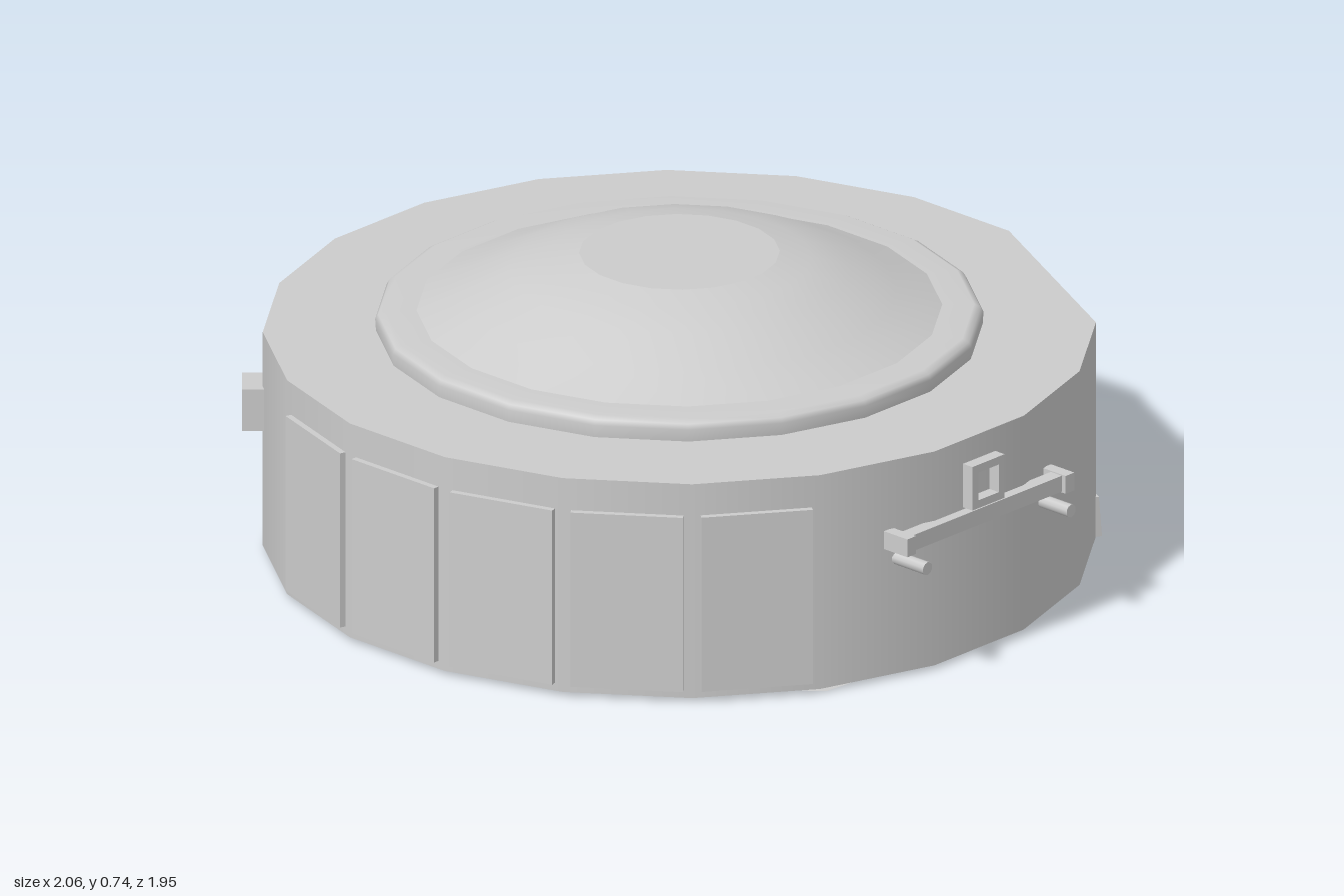
import * as THREE from 'three';

const RAD = Math.PI / 180, SIDES = 20, R = 0.975, CX = -0.016, CZ = -0.01;
const APOTHEM = R * Math.cos(9 * RAD);

export function createModel() {
  const model = new THREE.Group();
  const grey = new THREE.MeshStandardMaterial({ color: 0xcccccc });
  grey.name = 'plain grey';
  grey.side = THREE.DoubleSide;

  const add = (name, geometry, parent = model) => {
    const mesh = new THREE.Mesh(geometry, grey);
    mesh.name = name;
    parent.add(mesh);
    return mesh;
  };
  const box = (w, h, d) => new THREE.BoxGeometry(w, h, d);

  // Group on the wall: local +z points outward; degrees run from front toward +x
  const onWall = (name, deg, r, y) => {
    const g = new THREE.Group();
    g.name = name;
    g.rotation.y = deg * RAD;
    g.position.set(CX + r * Math.sin(deg * RAD), y, CZ + r * Math.cos(deg * RAD));
    model.add(g);
    return g;
  };
  const extrude = (shape, depth) =>
    new THREE.ExtrudeGeometry(shape, { depth, bevelEnabled: false, curveSegments: 6 });

  // Twenty-sided drum with one corner cut flat
  const drum = new THREE.CylinderGeometry(R, R, 0.54, SIDES, 1, false, 9 * RAD);
  const p = drum.attributes.position;
  for (let i = 0; i < p.count; i++) {
    const a = Math.atan2(p.getX(i), p.getZ(i)) / RAD;
    if (Math.hypot(p.getX(i), p.getZ(i)) > 0.5 && Math.abs(a - 135) < 1) {
      p.setX(i, p.getX(i) * Math.cos(18 * RAD));
      p.setZ(i, p.getZ(i) * Math.cos(18 * RAD));
    }
  }
  add('wall', drum).position.set(CX, 0.28, CZ);

  // Stepped roof: rim, dome and skylight
  const lathe = (name, pts) => {
    const g = new THREE.LatheGeometry(pts.map(q => new THREE.Vector2(...q)), SIDES, 9 * RAD);
    add(name, g).position.set(CX, 0, CZ);
  };
  lathe('roofRim', [[0.71, 0.55], [0.712, 0.58], [0.705, 0.592], [0.69, 0.6], [0.6, 0.6]]);
  lathe('dome', [[0.62, 0.598], [0.51, 0.645], [0.4, 0.698], [0.31, 0.724], [0.235, 0.74]]);
  lathe('skylightRim', [[0.235, 0.74], [0.215, 0.74]]);
  lathe('skylight', [[0.215, 0.737], [0.001, 0.737]]);

  // Five front panels
  for (let i = -2; i <= 2; i++) {
    add('frontPanel', box(0.265, 0.44, 0.03), onWall('frontPanelMount', i * 18, APOTHEM, 0.25));
  }

  // Boxes on the right side and back: angle, height, depth
  for (const [deg, y, d] of [[-65, 0.36, 0.12], [-95, 0.16, 0.07], [-110, 0.34, 0.11], [-159, 0.33, 0.03]]) {
    add('wallBox', box(0.105, 0.105, d), onWall('wallBoxMount', deg, APOTHEM, y));
  }

  // Arched back door
  const door = new THREE.Shape();
  door.moveTo(-0.105, 0);
  door.lineTo(0.105, 0);
  door.lineTo(0.105, 0.28);
  door.quadraticCurveTo(0.105, 0.36, 0.03, 0.36);
  door.lineTo(-0.03, 0.36);
  door.quadraticCurveTo(-0.105, 0.36, -0.105, 0.28);
  add('backDoor', extrude(door, 0.008), onWall('backDoorMount', 180, APOTHEM, 0.012));

  // Rounded window with two peaks on the cut corner
  const win = new THREE.Shape();
  win.moveTo(-0.1, -0.125);
  win.lineTo(0.1, -0.125);
  win.quadraticCurveTo(0.17, -0.125, 0.17, -0.05);
  win.lineTo(0.17, 0.05);
  win.quadraticCurveTo(0.17, 0.125, 0.1, 0.125);
  for (const x of [0.07, -0.07]) {
    win.lineTo(x + 0.03, 0.125);
    win.lineTo(x, 0.15);
    win.lineTo(x - 0.03, 0.125);
  }
  win.lineTo(-0.1, 0.125);
  win.quadraticCurveTo(-0.17, 0.125, -0.17, 0.05);
  win.lineTo(-0.17, -0.05);
  win.quadraticCurveTo(-0.17, -0.125, -0.1, -0.125);
  const cut = R * Math.cos(18 * RAD);
  add('window', extrude(win, 0.006), onWall('windowMount', 135, cut, 0.27)).position.x = -0.05;

  // Wedge-shaped sills at the foot of the two rear corners
  const sill = (deg, r, w) => {
    const s = new THREE.Shape();
    s.moveTo(-0.05, 0);
    s.lineTo(0.012, 0);
    s.lineTo(0.004, 0.1);
    s.lineTo(-0.05, 0.1);
    const g = extrude(s, w);
    g.translate(0, 0, -w / 2);
    g.rotateY(-Math.PI / 2);
    add('sill', g, onWall('sillMount', deg, r, 0.012));
  };
  sill(135, cut, 0.62);
  sill(-135, R, 0.36);

  // Bracket on the left: long bar, two pegs and a square frame
  const bracket = onWall('bracket', 72, APOTHEM, 0);
  add('bar', box(0.56, 0.04, 0.035), bracket).position.set(0, 0.355, 0.008);
  for (const s of [-1, 1]) {
    add('barEnd', box(0.03, 0.045, 0.075), bracket).position.set(s * 0.27, 0.355, 0);
    const peg = new THREE.CylinderGeometry(0.016, 0.016, 0.11, 10);
    peg.rotateX(Math.PI / 2);
    add('peg', peg, bracket).position.set(s * 0.245, 0.3, 0.01);
  }
  const frame = new THREE.Shape();
  frame.moveTo(-0.055, -0.055);
  frame.lineTo(0.055, -0.055);
  frame.lineTo(0.055, 0.055);
  frame.lineTo(-0.055, 0.055);
  const hole = new THREE.Path();
  hole.moveTo(-0.035, -0.035);
  hole.lineTo(-0.035, 0.035);
  hole.lineTo(0.035, 0.035);
  hole.lineTo(0.035, -0.035);
  frame.holes.push(hole);
  add('frame', extrude(frame, 0.05), bracket).position.set(0, 0.435, -0.02);

  // Thin open ring under the floor, its gap facing the centre
  const ring = new THREE.RingGeometry(0.15, 0.23, 6, 1, -180 * RAD, 270 * RAD);
  ring.rotateX(Math.PI / 2);
  add('floorRing', ring).position.set(0.52, 0, 0.5);
  model.getObjectByName('floorRing').rotation.y = -90 * RAD;

  return model;
}
